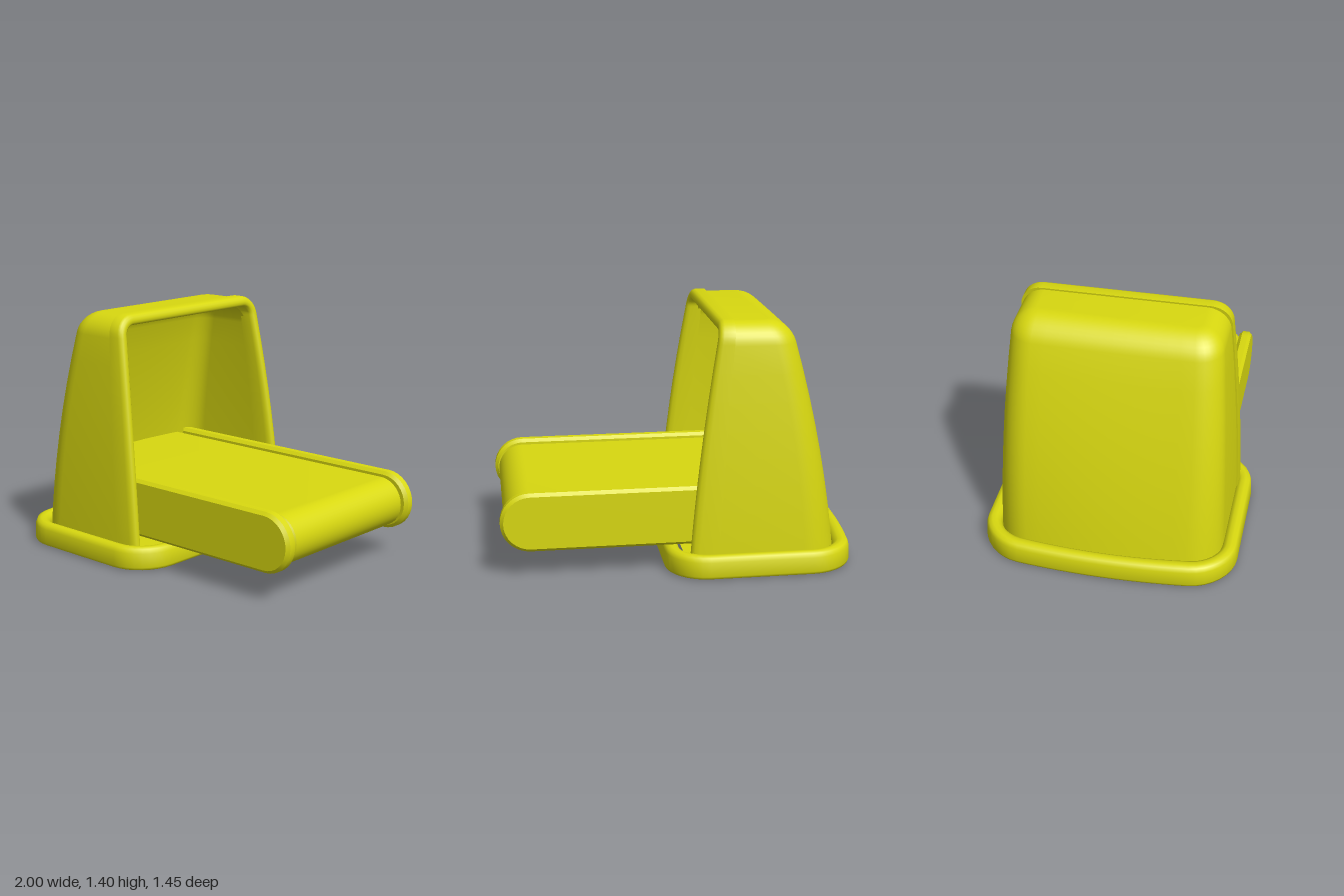
import * as THREE from 'three';
import { toCreasedNormals } from 'three/addons/utils/BufferGeometryUtils.js';

const yellow = new THREE.MeshStandardMaterial({ color: 0xd8d810, side: THREE.DoubleSide });
yellow.name = 'yellow plastic';

function part(name, geometry, crease = 0.6) {
  const mesh = new THREE.Mesh(toCreasedNormals(geometry, crease), yellow);
  mesh.name = name;
  return mesh;
}

// Skin a list of equally long rows of points; rows and columns may each be closed.
function skin(rows, closeRows, closeCols) {
  const n = rows[0].length, m = rows.length, index = [];
  for (let i = 0; i < (closeRows ? m : m - 1); i++) {
    for (let j = 0; j < (closeCols ? n : n - 1); j++) {
      const a = i * n + j, b = i * n + (j + 1) % n;
      const c = ((i + 1) % m) * n + j, d = ((i + 1) % m) * n + (j + 1) % n;
      index.push(a, c, b, b, c, d);
    }
  }
  const geo = new THREE.BufferGeometry();
  geo.setAttribute('position', new THREE.Float32BufferAttribute(rows.flat(2), 3));
  geo.setIndex(index);
  return geo;
}

// Half outline to the +z side, starting at the middle of the bowed back.
function halfPlan(back, front, hz, r, bow, roundFront) {
  const p = [];
  for (let k = 0; k < 6; k++) p.push([back, (hz - r) * k / 6]);
  for (let k = 0; k <= 8; k++) {
    const t = k / 8 * Math.PI / 2;
    p.push([back + r - r * Math.cos(t), hz - r + r * Math.sin(t)]);
  }
  if (roundFront) {
    for (let k = 0; k <= 8; k++) {
      const t = k / 8 * Math.PI / 2;
      p.push([front - r + r * Math.sin(t), hz - r + r * Math.cos(t)]);
    }
    p.push([front, 0]);
  } else p.push([front, hz]);
  return p.map(([x, z]) => [x + bow * (z / hz) ** 2 * (front - x) / (front - back), z]);
}

// Side and end curves of the hood, by height
const halfWidth = y => 0.649 - 0.01 * y - 0.031 * y * y;
const rimFront = y => -0.03 - 0.07 * y - 0.042 * y * y;
const rimBack = y => -0.19 - 0.05 * y - 0.016 * y * y;
const hoodBack = y => -0.92 + 0.12 * y + 0.075 * y * y;

// Hood: plan sections up the walls, rounded into a flat roof
function hoodShell(inset) {
  const levels = [], top = 1.393 - inset, R = 0.12;
  for (let k = 0; k <= 8; k++) levels.push([0.03 + (top - R - 0.03) * k / 8, 0]);
  for (let k = 1; k <= 8; k++) {
    const t = k / 8 * Math.PI / 2;
    levels.push([top - R + R * Math.sin(t), R * (1 - Math.cos(t))]);
  }
  const rows = levels.map(([y, round]) => {
    const r = Math.max(0.19 - 0.04 * y - inset - round * 0.9, 0.02);
    const half = halfPlan(hoodBack(y) + inset + round, rimBack(y) + 0.02,
      halfWidth(y) - 0.009 - inset - round, r, 0.06 * (1 - y / 1.4), false);
    const other = half.slice(1).reverse().map(([x, z]) => [x, -z]);
    return [...other, ...half].map(([x, z]) => [x, y, z]);
  });
  rows.push(rows[rows.length - 1].map(([x, y]) => [x, y, 0]));
  return skin(rows, false, false);
}

// Arch around the hood mouth, moved inward by an offset
function arch(off) {
  const half = [], R = 0.12, yc = 1.403 - R, zc = halfWidth(yc) - R;
  for (let k = 0; k < 8; k++) {
    const y = 0.06 + (yc - 0.06) * k / 8;
    half.push([halfWidth(y) - off, y]);
  }
  for (let k = 0; k <= 8; k++) {
    const t = k / 8 * Math.PI / 2;
    half.push([zc + (R - off) * Math.cos(t), yc + (R - off) * Math.sin(t)]);
  }
  return [...half, ...half.slice().reverse().map(([z, y]) => [-z, y])];
}

function rim() {
  // [inward offset, depth from front edge to back edge]
  const section = [[0, 1], [0, 0.3], [0.006, 0.12], [0.017, 0.03], [0.031, 0],
    [0.045, 0.03], [0.056, 0.12], [0.062, 0.3], [0.062, 1]];
  const rows = section.map(([off, u]) => arch(off).map(([z, y]) =>
    [rimFront(y) + (rimBack(y) - rimFront(y)) * u, y, z]));
  return skin(rows, true, false);
}

// Plan outline of the base, moved inward by an offset
function basePlan(off, y) {
  const half = halfPlan(-1 + off, 0.09 - off, 0.723 - off, 0.24 - off, 0.06, true);
  const other = half.slice(1, -1).reverse().map(([x, z]) => [x, -z]);
  return [...half, ...other].map(([x, z]) => [x, y, z]);
}

// Base ring: rounded bar following the plan outline
function baseRing() {
  const section = [[0.075, 0], [0.02, 0], [0.005, 0.006], [0, 0.02], [0.004, 0.1], [0.014, 0.124],
    [0.035, 0.132], [0.06, 0.13], [0.08, 0.117], [0.09, 0.095], [0.09, 0.015]];
  return skin(section.map(([off, y]) => basePlan(off, y)), true, true);
}

// Floor: thin sheet closing the bottom of the hood
function floorSheet() {
  const y = 0.05, half = halfPlan(hoodBack(y), rimFront(y), halfWidth(y), 0.19, 0.06, false);
  return skin([half.map(([x, z]) => [x, y, z]), half.map(([x, z]) => [x, y, -z])], false, false);
}

// Slab lying along x, square at x0 and round at x1, spanning z0 to z1
function slab(r, x0, x1, z0, z1, bevel, segments) {
  const s = new THREE.Shape(), q = r - bevel, y = 0.325;
  s.moveTo(x0, y - q);
  s.lineTo(x1 - r, y - q);
  s.absarc(x1 - r, y, q, -Math.PI / 2, Math.PI / 2, false);
  s.lineTo(x0, y + q);
  s.closePath();
  const geo = new THREE.ExtrudeGeometry(s, {
    depth: z1 - z0 - 2 * bevel, bevelEnabled: bevel > 0, bevelSize: bevel,
    bevelThickness: bevel, bevelSegments: 1, curveSegments: segments,
  });
  return geo.translate(0, 0, z0 + bevel);
}

export function createModel() {
  const model = new THREE.Group();
  model.name = 'hooded conveyor';

  const base = new THREE.Group();
  base.name = 'base';
  base.add(part('baseRing', baseRing(), 0.9));
  base.add(part('baseFloor', floorSheet()));
  model.add(base);

  const hood = new THREE.Group();
  hood.name = 'hood';
  hood.add(part('hoodOuterShell', hoodShell(0)));
  hood.add(part('hoodInnerShell', hoodShell(0.045)));
  hood.add(part('hoodRim', rim(), 0.9));
  model.add(hood);

  // Conveyor runs into the back wall of the hood
  const conveyor = new THREE.Group();
  conveyor.name = 'conveyor';
  conveyor.add(part('belt', slab(0.142, -0.78, 0.975, -0.488, 0.488, 0.018, 12)));
  conveyor.add(part('beltCore', slab(0.115, -0.75, 0.95, -0.51, 0.51, 0, 12)));
  conveyor.add(part('leftRail', slab(0.167, -0.74, 0.998, 0.494, 0.568, 0.018, 8)));
  conveyor.add(part('rightRail', slab(0.167, -0.74, 0.998, -0.568, -0.494, 0.018, 8)));
  model.add(conveyor);

  return model;
}
